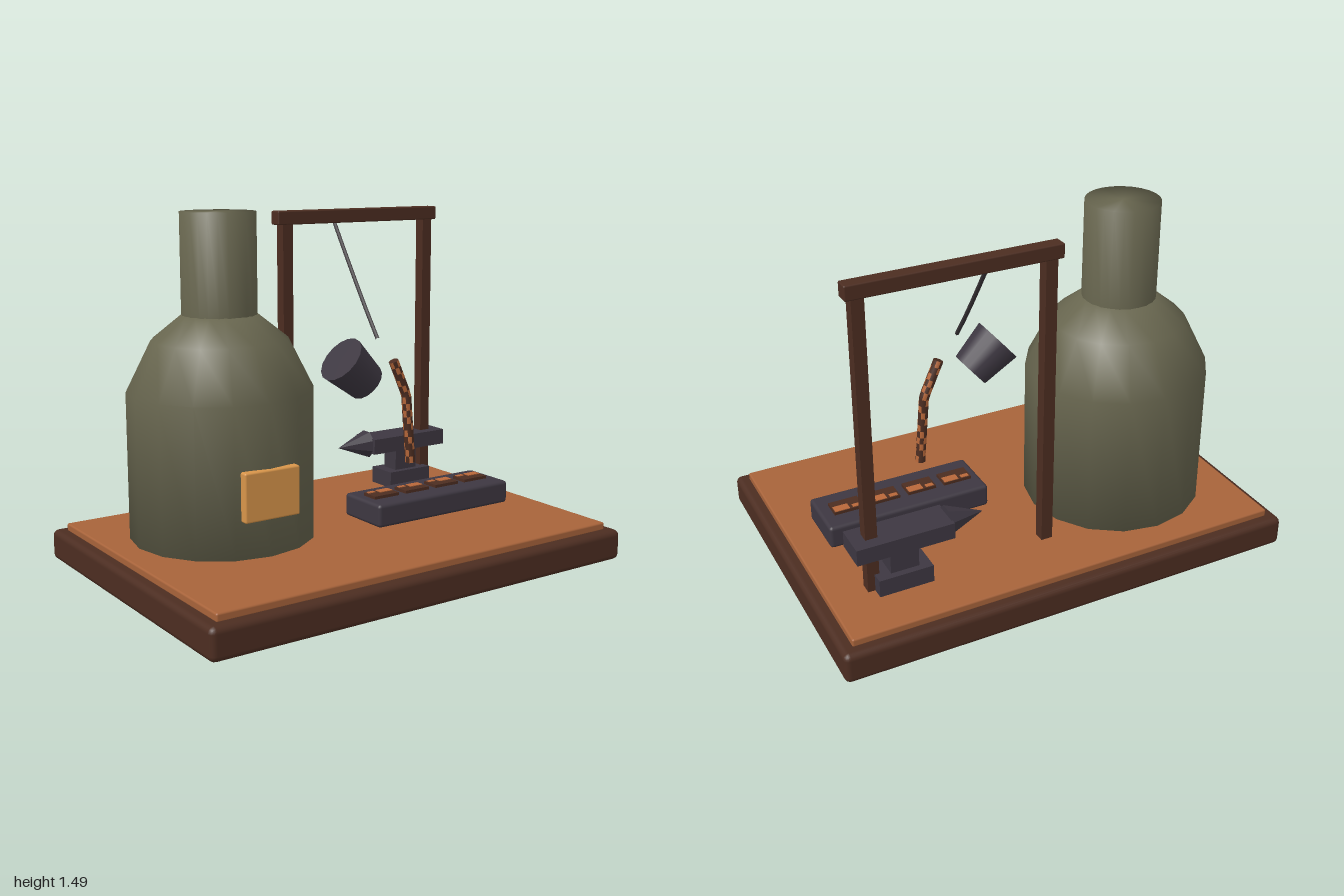
import * as THREE from 'three';
import { RoundedBoxGeometry } from 'three/addons/geometries/RoundedBoxGeometry.js';

const mat = (name, color) => {
  const m = new THREE.MeshStandardMaterial({ color });
  m.name = name;
  return m;
};

export function createModel() {
  const root = new THREE.Group();
  root.name = 'foundryDiorama';

  const wood = mat('darkWood', 0x4c2d21);
  const floor = mat('clayFloor', 0xa7633a);
  const brick = mat('furnaceClay', 0x68664f);
  const iron = mat('iron', 0x3d3741);
  const chainMat = mat('chainSteel', 0x3a3538);
  const glow = mat('hotMetal', 0xd8954a);
  const copper = mat('copper', 0xb8683a);

  const add = (name, geometry, material, parent = root) => {
    const mesh = new THREE.Mesh(geometry, material);
    mesh.name = name;
    parent.add(mesh);
    return mesh;
  };
  // box given by its min and max on each axis; r rounds the edges
  const box = (name, material, [x0, x1], [y0, y1], [z0, z1], r = 0, parent = root) => {
    const s = [x1 - x0, y1 - y0, z1 - z0];
    const g = r ? new RoundedBoxGeometry(...s, 2, r) : new THREE.BoxGeometry(...s);
    const mesh = add(name, g, material, parent);
    mesh.position.set((x0 + x1) / 2, (y0 + y1) / 2, (z0 + z1) / 2);
    return mesh;
  };
  const v2 = (x, y) => new THREE.Vector2(x, y);
  const v3 = (x, y, z) => new THREE.Vector3(x, y, z);
  const polyline = (...points) => {
    const path = new THREE.CurvePath();
    for (let i = 1; i < points.length; i++) path.add(new THREE.LineCurve3(points[i - 1], points[i]));
    return path;
  };

  // plinth and floor
  box('plinth', wood, [-1, 1], [0, 0.13], [-0.7, 0.7], 0.025);
  box('floor', floor, [-0.95, 0.95], [0.125, 0.16], [-0.65, 0.65], 0.008);

  // furnace: sixteen-sided body with domed shoulder, round chimney, glowing door
  const furnace = new THREE.Group();
  furnace.name = 'furnace';
  furnace.position.set(-0.465, 0, -0.155);
  root.add(furnace);
  const body = [v2(0, 0.16), v2(0.385, 0.16), v2(0.385, 0.77), v2(0.281, 0.977), v2(0.155, 1.078), v2(0, 1.1)];
  add('furnaceBody', new THREE.LatheGeometry(body, 16), brick, furnace);
  const chimney = [v2(0.154, 1.06), v2(0.154, 1.49), v2(0, 1.49)];
  add('chimney', new THREE.LatheGeometry(chimney, 24), brick, furnace);
  box('furnaceDoor', glow, [-0.59, -0.34], [0.315, 0.515], [0.205, 0.245], 0.008);

  // hoist frame
  for (const x of [-0.005, 0.765]) box('hoistPost', wood, [x - 0.025, x + 0.025], [0.16, 1.42], [-0.408, -0.358]);
  box('hoistBeam', wood, [-0.055, 0.815], [1.41, 1.47], [-0.415, -0.355], 0.006);

  // chain hanging from the beam
  const chainPath = new THREE.QuadraticBezierCurve3(v3(0.255, 1.41, -0.38), v3(0.195, 1.115, -0.1), v3(0.175, 0.947, 0.055));
  add('chain', new THREE.TubeGeometry(chainPath, 4, 0.009, 6), chainMat);

  // crucible tipped toward the mould
  const crucible = add('crucible', new THREE.CylinderGeometry(0.107, 0.084, 0.17, 16), iron);
  crucible.position.set(0.054, 0.822, 0.052);
  crucible.rotation.z = 0.86;

  // poured stream, mottled dark and hot
  const pour = polyline(v3(0.262, 0.845, 0.053), v3(0.332, 0.69, 0.053), v3(0.358, 0.388, 0.053));
  const rows = 16, sides = 8;
  const stream = new THREE.TubeGeometry(pour, rows, 0.022, sides);
  for (let k = 0; k < rows * sides; k++) {
    const row = Math.floor(k / sides), side = k % sides;
    stream.addGroup(k * 6, 6, (row * 5 + side * 3) % 8 < 3 ? 1 : 0);
  }
  add('pouredStream', stream, [wood, copper]);
  for (const t of [0, 1]) {
    const cap = add('streamEnd', new THREE.CircleGeometry(0.022, sides), wood);
    const p = pour.getPointAt(t);
    cap.position.copy(p);
    cap.lookAt(p.clone().addScaledVector(pour.getTangentAt(t), t ? 1 : -1));
  }

  // ingot mould with four bars
  box('ingotMould', iron, [0.1, 0.82], [0.16, 0.26], [-0.075, 0.178], 0.015);
  for (let i = 0; i < 4; i++) {
    const x = 0.205 + i * 0.166;
    box('ingot', wood, [x - 0.064, x + 0.064], [0.25, 0.273], [0.01, 0.09]);
    box('ingotHotPatch', copper, [x - 0.005, x + 0.06], [0.27, 0.276], [0.012, 0.05]);
    box('ingotHotPatch', copper, [x - 0.055, x - 0.02], [0.27, 0.276], [0.015, 0.035]);
  }

  // anvil with an eight-sided horn
  const anvil = new THREE.Group();
  anvil.name = 'anvil';
  root.add(anvil);
  box('anvilFoot', iron, [0.53, 0.76], [0.16, 0.235], [-0.458, -0.312], 0, anvil);
  box('anvilWaist', iron, [0.58, 0.7], [0.23, 0.34], [-0.43, -0.34], 0, anvil);
  box('anvilFace', iron, [0.435, 0.845], [0.335, 0.405], [-0.458, -0.312], 0, anvil);
  const hornShape = new THREE.ConeGeometry(0.065, 0.16, 8).rotateY(Math.PI / 8).toNonIndexed();
  hornShape.computeVertexNormals();
  const horn = add('anvilHorn', hornShape, iron, anvil);
  horn.position.set(0.36, 0.373, -0.385);
  horn.rotation.z = Math.PI / 2;

  return root;
}
